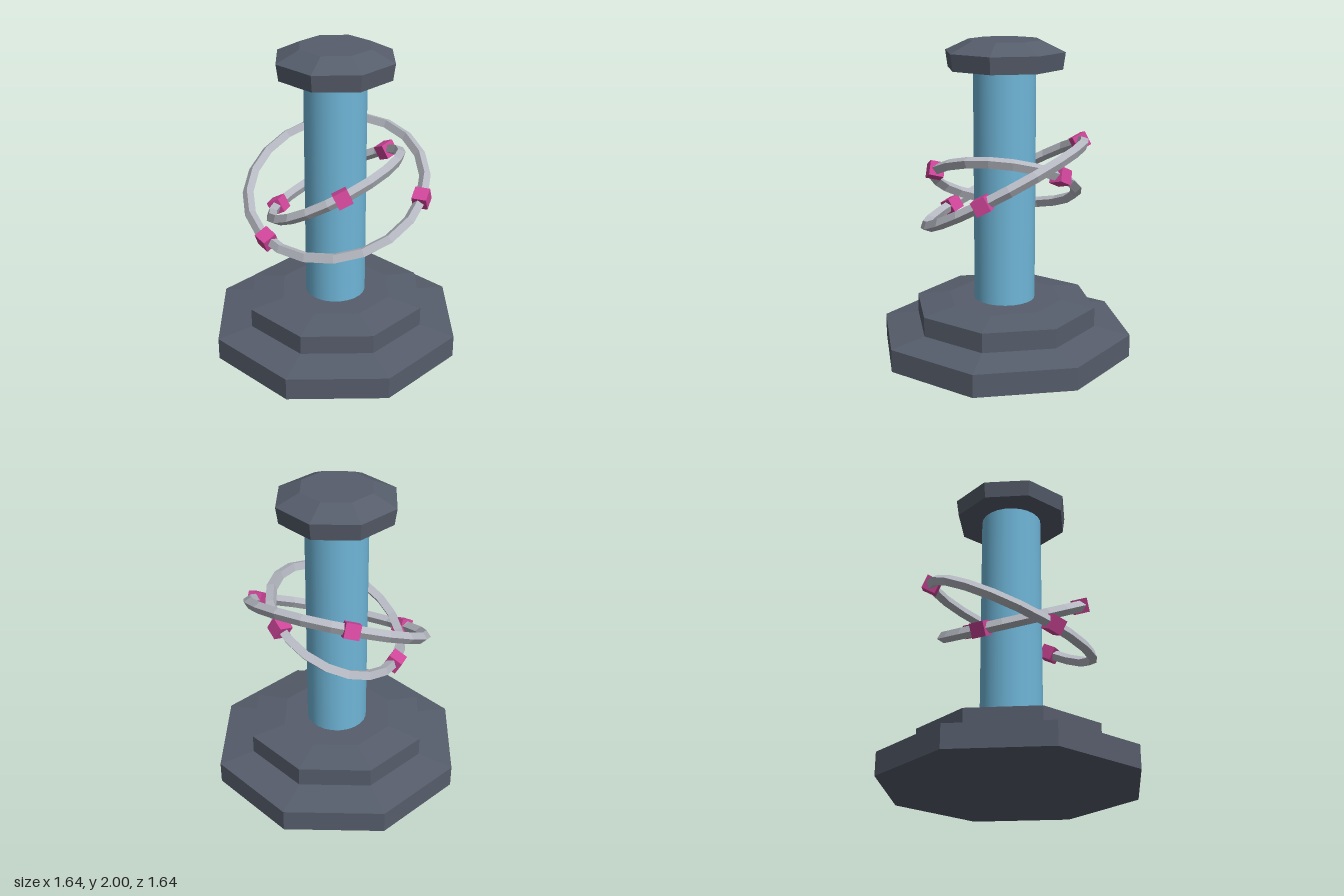
import * as THREE from 'three';

const material = (name, color) => {
  const m = new THREE.MeshStandardMaterial({ color });
  m.name = name;
  return m;
};

// Give every face its own normal for the low-poly look
function faceted(geometry) {
  const g = geometry.toNonIndexed();
  g.computeVertexNormals();
  return g;
}

function mesh(name, geometry, mat) {
  const m = new THREE.Mesh(geometry, mat);
  m.name = name;
  return m;
}

// Octagonal turned solid from [radius, height] pairs, bottom to top
function octagonal(profile) {
  const points = profile.map(([r, y]) => new THREE.Vector2(r, y));
  return faceted(new THREE.LatheGeometry(points, 8));
}

// Flat-lying ring of diamond section with three cubes spaced around it
function beadedRing(name, radius, firstAngle, ringMat, cubeMat) {
  const group = new THREE.Group();
  group.name = name;
  const torus = new THREE.TorusGeometry(radius, 0.036, 4, 20).rotateX(Math.PI / 2);
  group.add(mesh(name + 'Band', faceted(torus), ringMat));
  const cube = new THREE.BoxGeometry(0.093, 0.093, 0.093);
  for (let i = 0; i < 3; i++) {
    const angle = firstAngle + (i * Math.PI * 2) / 3;
    const bead = mesh(name + 'Cube', cube, cubeMat);
    bead.position.set(Math.cos(angle) * radius, 0, -Math.sin(angle) * radius);
    bead.rotation.y = angle;
    group.add(bead);
  }
  group.position.y = 1.095;
  return group;
}

export function createModel() {
  const stone = material('dark stone', 0x565d6b);
  const glow = material('blue column', 0x6fb6d8);
  const metal = material('pale metal', 0xb6b9c2);
  const pink = material('pink crystal', 0xd0469a);

  const model = new THREE.Group();
  model.name = 'ringedPillar';

  // Two-step base with sloping tops
  model.add(mesh('base', octagonal([
    [0, 0], [0.82, 0], [0.82, 0.145], [0.59, 0.185],
    [0.59, 0.31], [0.37, 0.345], [0, 0.345],
  ]), stone));

  // Smooth column
  const column = mesh('column', new THREE.CylinderGeometry(0.195, 0.195, 1.55, 24), glow);
  column.position.y = 1.095;
  model.add(column);

  // Bevelled capital
  model.add(mesh('capital', octagonal([
    [0, 1.825], [0.365, 1.825], [0.38, 1.93], [0.23, 2], [0, 2],
  ]), stone));

  // Outer ring rises to the back, inner ring rises to the left
  const outer = beadedRing('outerRing', 0.567, 0, metal, pink);
  outer.rotation.x = 0.5;
  const inner = beadedRing('innerRing', 0.455, Math.PI, metal, pink);
  inner.rotation.z = 0.5;
  model.add(outer, inner);

  return model;
}
